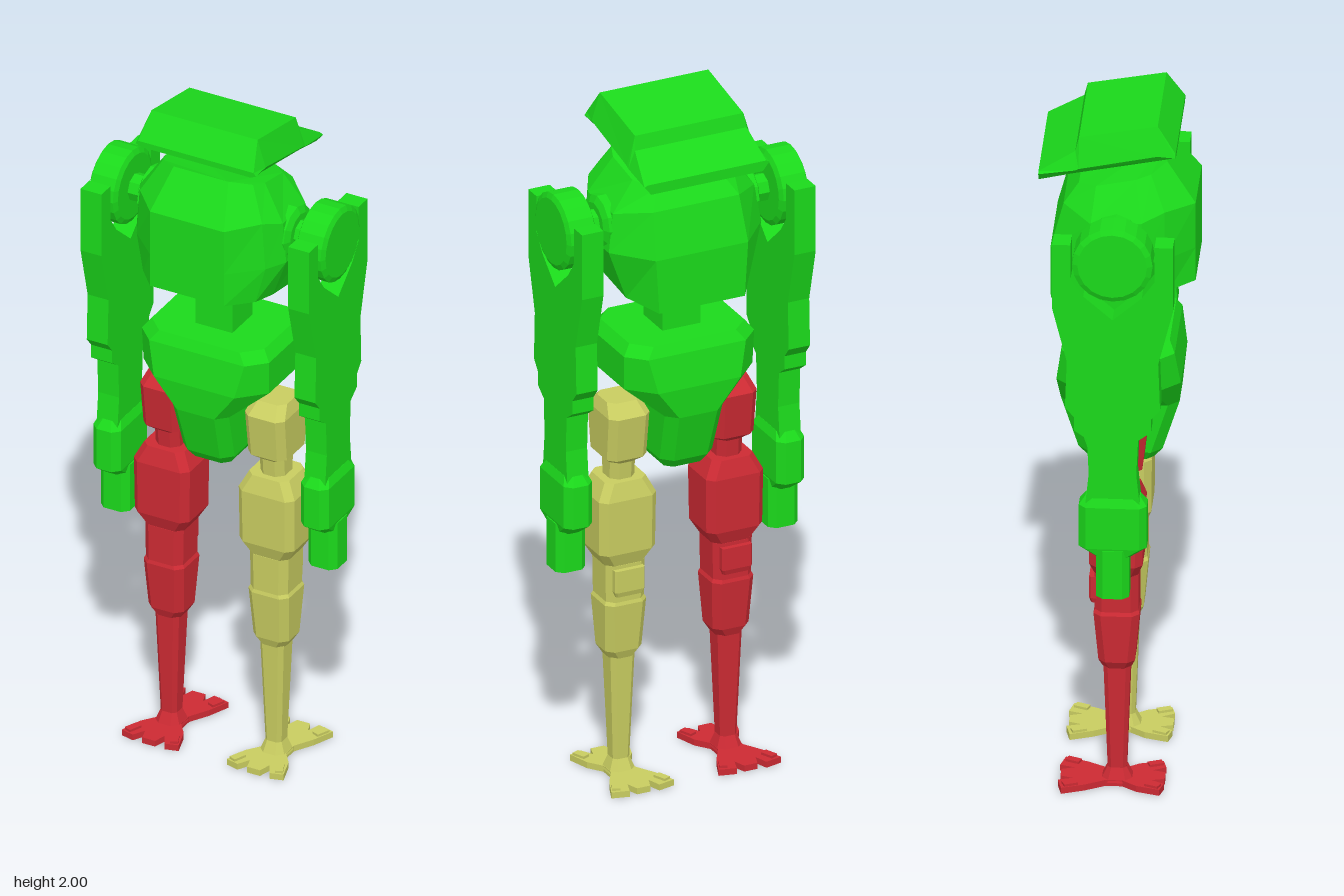
import * as THREE from 'three';

const mat = (color) => new THREE.MeshStandardMaterial({ color, flatShading: true });
const GREEN = mat(0x1bd91b), RED = mat(0xcc2a33), YELLOW = mat(0xc8cc60);

function mesh(name, geometry, material, x = 0, y = 0, z = 0) {
  const m = new THREE.Mesh(geometry, material);
  m.name = name;
  m.position.set(x, y, z);
  return m;
}

// Skin a stack of equal-length rings and cap both ends
function loft(rings) {
  const pos = [], n = rings[0].length;
  const tri = (a, b, c) => pos.push(...a, ...b, ...c);
  for (let r = 0; r < rings.length - 1; r++) {
    for (let i = 0; i < n; i++) {
      const j = (i + 1) % n, lo = rings[r], hi = rings[r + 1];
      tri(lo[i], lo[j], hi[j]);
      tri(lo[i], hi[j], hi[i]);
    }
  }
  const first = rings[0], last = rings[rings.length - 1];
  for (let i = 1; i < n - 1; i++) {
    tri(first[0], first[i + 1], first[i]);
    tri(last[0], last[i], last[i + 1]);
  }
  const g = new THREE.BufferGeometry();
  g.setAttribute('position', new THREE.Float32BufferAttribute(pos, 3));
  g.computeVertexNormals();
  return g;
}

// Rectangle with cut corners at height y
const ring = ([y, hx, hz, c = 0.02, oz = 0]) => [
  [-hx + c, hz], [hx - c, hz], [hx, hz - c], [hx, -hz + c],
  [hx - c, -hz], [-hx + c, -hz], [-hx, -hz + c], [-hx, hz - c],
].map(([x, z]) => [x, y, z + oz]);
const stack = (rows) => loft(rows.map(ring));

// Full ring from its +x half, listed front to back
const mirrorRing = (half) => [...half, ...half.map(([x, y, z]) => [-x, y, z]).reverse()];

// Cylinder along x with chamfered rims
function disc(radius, width, chamfer, sides) {
  const h = width / 2;
  const pts = [[0, -h], [radius - chamfer, -h], [radius, -h + chamfer / 2],
    [radius, h - chamfer / 2], [radius - chamfer, h], [0, h]];
  return new THREE.LatheGeometry(pts.map(([x, y]) => new THREE.Vector2(x, y)), sides).rotateZ(Math.PI / 2);
}

const outline = (pts) => new THREE.Shape(pts.map(([x, y]) => new THREE.Vector2(x, y)));

function head() {
  // z, underside half width and y, rim half width and y, top half width and y
  const rows = [
    [-0.215, 0.17, 1.83, 0.19, 1.855, 0.18, 1.86],
    [-0.115, 0.17, 1.853, 0.19, 1.87, 0.17, 1.92],
    [-0.105, 0.17, 1.855, 0.19, 1.875, 0.165, 1.96],
    [0.11, 0.175, 1.9, 0.19, 1.92, 0.165, 2.0],
    [0.16, 0.17, 1.908, 0.187, 1.915, 0.18, 1.925],
  ];
  return loft(rows.map(([z, b, yb, m, ym, t, yt]) =>
    [[-b, yb, z], [b, yb, z], [m, ym, z], [t, yt, z], [-t, yt, z], [-m, ym, z]]));
}

function chest() {
  return loft([
    [[0.115, 1.51, 0.21], [0.175, 1.505, 0.14], [0.185, 1.49, 0.06], [0.18, 1.465, -0.08], [0.13, 1.45, -0.185]],
    [[0.115, 1.61, 0.21], [0.2, 1.61, 0.13], [0.232, 1.61, 0.07], [0.232, 1.61, -0.08], [0.14, 1.61, -0.185]],
    [[0.115, 1.745, 0.21], [0.19, 1.75, 0.13], [0.222, 1.73, 0.07], [0.215, 1.72, -0.07], [0.13, 1.74, -0.15]],
    [[0.085, 1.855, 0.13], [0.14, 1.84, 0.09], [0.155, 1.83, 0.05], [0.15, 1.805, -0.06], [0.1, 1.79, -0.11]],
  ].map(mirrorRing));
}

// Forked upper arm narrowing through the elbow to the wrist
function armShape() {
  const half = [[0.115, 1.725], [0.165, 1.725], [0.165, 1.53], [0.125, 1.37], [0.13, 1.23],
    [0.105, 1.2], [0.105, 1.16], [0.07, 1.135], [0.065, 1.03], [0.075, 0.93]];
  const left = half.map(([z, y]) => [-z, y]).reverse();
  return outline([[0, 1.5], [0.08, 1.57], [0.115, 1.62], ...half, ...left, [-0.115, 1.62], [-0.08, 1.57]]);
}

function arm(side) {
  const g = new THREE.Group();
  g.name = side > 0 ? 'leftArm' : 'rightArm';
  const depth = 0.065;
  const limb = new THREE.ExtrudeGeometry(armShape(), { depth, bevelEnabled: false })
    .translate(0, 0, -depth / 2).rotateY(-Math.PI / 2);
  g.add(
    mesh('armLimb', limb, GREEN),
    mesh('shoulderDisc', disc(0.11, 0.09, 0.015, 20), GREEN, 0, 1.67),
    mesh('shoulderAxle', disc(0.04, 0.1, 0, 8), GREEN, -side * 0.075, 1.67),
    mesh('shoulderSocket', disc(0.078, 0.08, 0.02, 12), GREEN, -side * 0.125, 1.67),
    mesh('wristBlock', stack([[0.77, 0.035, 0.045], [0.805, 0.043, 0.093], [0.93, 0.043, 0.093], [0.955, 0.033, 0.075]]), GREEN),
    mesh('fist', stack([[0.655, 0.045, 0.045, 0.018], [0.8, 0.045, 0.045, 0.018]]), GREEN));
  g.position.x = side * 0.323;
  return g;
}

// Splayed foot with three toes ahead and three behind
function foot() {
  const half = [[0.02, 0.13], [0.03, 0.095], [0.05, 0.13], [0.088, 0.12], [0.068, 0.055], [0.038, 0.015],
    [0.038, -0.03], [0.07, -0.085], [0.095, -0.148], [0.045, -0.16], [0.032, -0.12], [0.02, -0.155]];
  const pts = [...half, ...half.map(([x, z]) => [-x, z]).reverse()].map(([x, z]) => [x, -z]);
  return new THREE.ExtrudeGeometry(outline(pts), { depth: 0.018, bevelEnabled: false }).rotateX(-Math.PI / 2);
}

function leg(side, material) {
  const g = new THREE.Group();
  g.name = side > 0 ? 'leftLeg' : 'rightLeg';
  g.add(
    mesh('hipJoint', stack([[0.89, 0.038, 0.04], [0.95, 0.038, 0.045], [0.97, 0.06, 0.07], [1.1, 0.062, 0.085],
      [1.135, 0.05, 0.05]]), material),
    mesh('thigh', stack([[0.64, 0.055, 0.055], [0.69, 0.085, 0.073], [0.85, 0.087, 0.075], [0.9, 0.062, 0.06]]), material),
    mesh('shin', stack([[0.36, 0.04, 0.04], [0.385, 0.055, 0.05], [0.53, 0.063, 0.063], [0.54, 0.058, 0.06],
      [0.65, 0.06, 0.06]]), material),
    mesh('calfPlate', stack([[0.56, 0.04, 0.02, 0.005], [0.575, 0.045, 0.025, 0.005], [0.64, 0.045, 0.025, 0.005]]),
      material, 0, 0, -0.05),
    mesh('ankle', stack([[0.01, 0.04, 0.045], [0.05, 0.025, 0.026, 0.01], [0.37, 0.037, 0.037, 0.012]]), material),
    mesh('foot', foot(), material));
  // Raised knuckles on the outer toes
  for (const sx of [-1, 1]) {
    for (const [x, z] of [[0.065, 0.1], [0.07, -0.125]]) {
      const k = mesh('toeKnuckle', new THREE.BoxGeometry(0.022, 0.024, 0.04), material, sx * x, 0.013, z);
      k.rotation.y = sx * Math.sign(z) * 0.4;
      g.add(k);
    }
  }
  g.position.x = side * 0.163;
  return g;
}

export function createModel() {
  const root = new THREE.Group();
  root.name = 'robot';
  root.add(
    mesh('head', head(), GREEN),
    mesh('neck', new THREE.BoxGeometry(0.08, 0.14, 0.09), GREEN, 0, 1.84, 0.003),
    mesh('chest', chest(), GREEN),
    mesh('waist', new THREE.BoxGeometry(0.115, 0.2, 0.115), GREEN, 0, 1.41, 0),
    mesh('pelvis', stack([[0.93, 0.06, 0.09, 0.02], [0.96, 0.08, 0.115, 0.03], [1.11, 0.088, 0.162, 0.03],
      [1.2, 0.195, 0.17, 0.07], [1.3, 0.198, 0.155, 0.05], [1.33, 0.175, 0.14, 0.05]]), GREEN),
    arm(1), arm(-1), leg(1, YELLOW), leg(-1, RED));
  return root;
}
